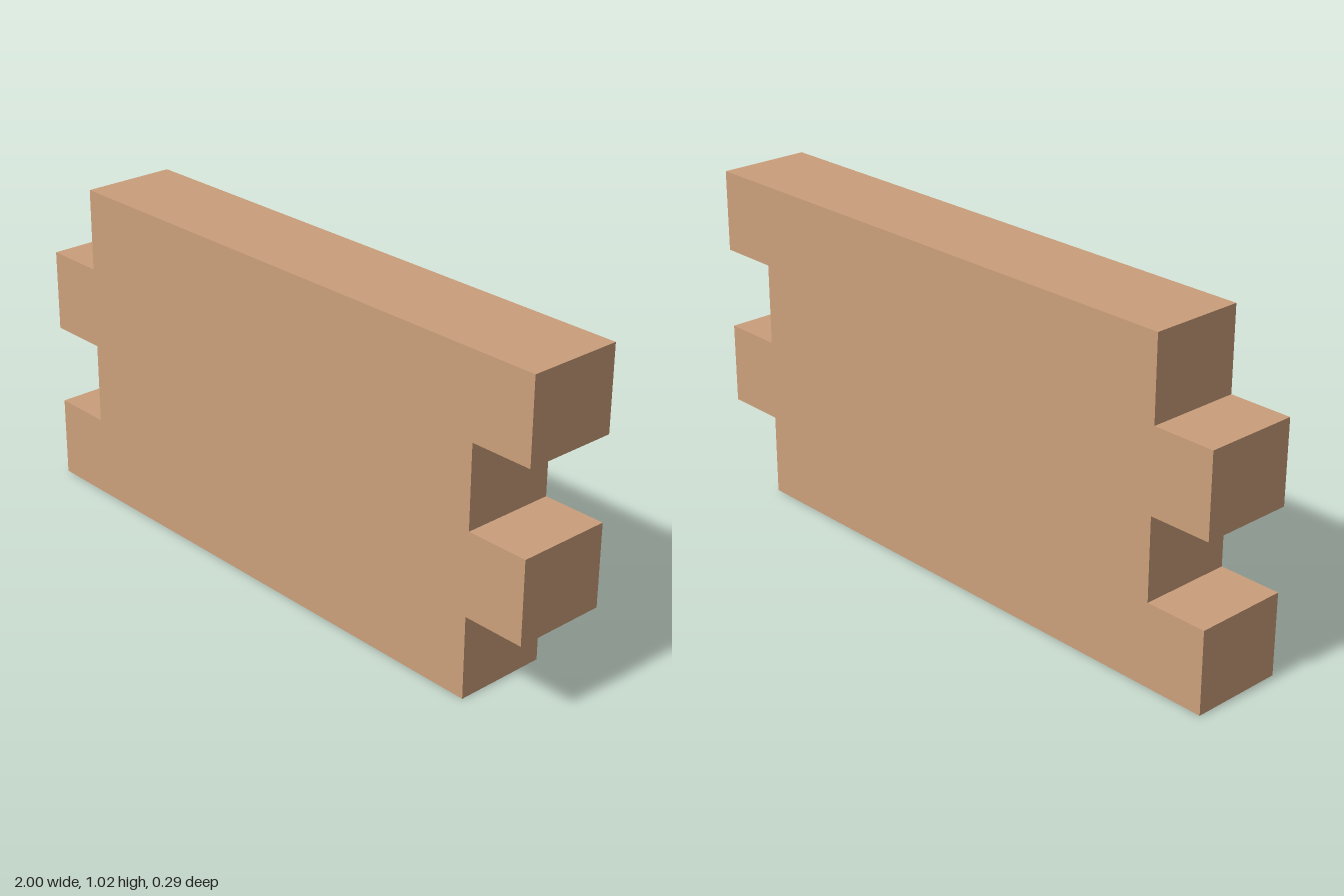
import * as THREE from 'three';

export function createModel() {
  const model = new THREE.Group();
  model.name = 'fingerJointBoard';
  const wood = new THREE.MeshStandardMaterial({ color: 0xcb9f7b });
  wood.name = 'lightWood';

  const height = 1.022, depth = 0.295;
  const outer = 1, inner = 0.803; // tips and roots of the fingers
  const step = height / 4;

  // Outline: up the +x edge, then down the -x edge, with staggered fingers
  const outline = [];
  for (let i = 0; i < 4; i++) {
    const x = i % 2 ? outer : inner;
    outline.push(new THREE.Vector2(x, i * step), new THREE.Vector2(x, (i + 1) * step));
  }
  for (let i = 3; i >= 0; i--) {
    const x = i % 2 ? -inner : -outer;
    outline.push(new THREE.Vector2(x, (i + 1) * step), new THREE.Vector2(x, i * step));
  }

  // Board with its fingers in one solid piece
  const geometry = new THREE.ExtrudeGeometry(new THREE.Shape(outline), { depth, bevelEnabled: false });
  geometry.translate(0, 0, -depth / 2);
  const board = new THREE.Mesh(geometry, wood);
  board.name = 'board';
  model.add(board);
  return model;
}
